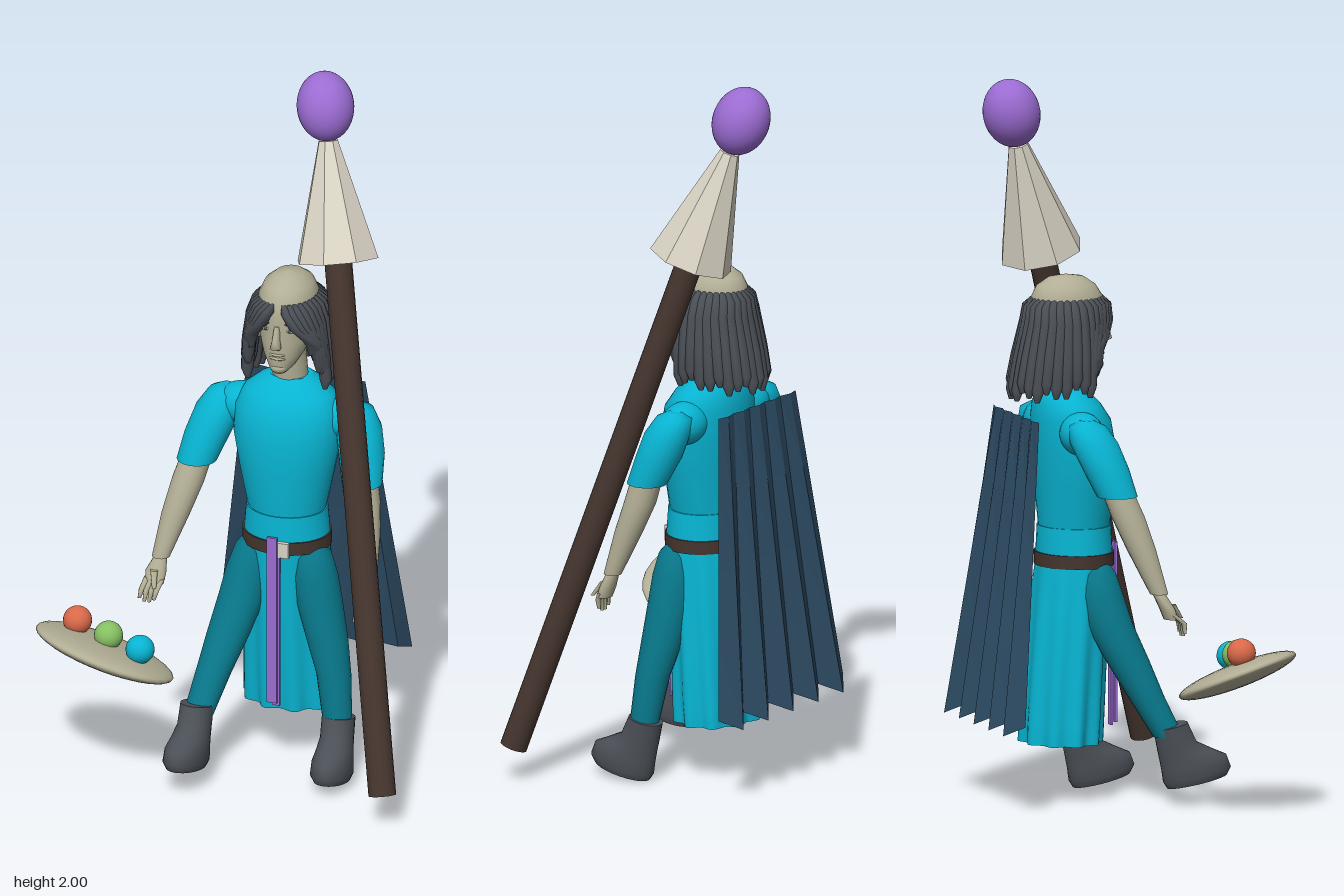
import * as THREE from 'three';

const mat = (name, color) => {
  const m = new THREE.MeshStandardMaterial({ color });
  m.name = name;
  return m;
};

export function createModel() {
  const root = new THREE.Group();
  root.name = 'wanderer';
  const cyan = mat('cyan cloth', 0x08b4d2);
  const teal = mat('teal trousers', 0x08798c);
  const navy = mat('navy cape', 0x2c4a62);
  navy.side = THREE.DoubleSide;
  const grey = mat('dark grey', 0x4b5057);
  const skin = mat('skin', 0xb3af96);
  const brown = mat('dark brown', 0x45352e);
  const cream = mat('cream', 0xd9d3c4);
  const purple = mat('purple', 0x9b6cd2);
  const orange = mat('orange', 0xd9694a);
  const green = mat('green', 0x85c062);

  const add = (name, geo, material, parent = root) => {
    const m = new THREE.Mesh(geo, material);
    m.name = name;
    parent.add(m);
    return m;
  };
  const group = (name, parent = root) => {
    const g = new THREE.Group();
    g.name = name;
    parent.add(g);
    return g;
  };
  const ball = (name, material, [x, y, z], [a, b, c], parent = root, seg = 24) => {
    const m = add(name, new THREE.SphereGeometry(1, seg, Math.round(seg * 0.65)), material, parent);
    m.position.set(x, y, z);
    m.scale.set(a, b, c);
    return m;
  };

  // Closed body through horizontal rings [x, y, z, rx, rz], listed from top to bottom
  const loft = (rings, sides = 20, wave = () => 1) => {
    const pos = [], idx = [];
    const ring = ([x, y, z, rx, rz = rx], r) => {
      for (let j = 0; j < sides; j++) {
        const a = (j / sides) * Math.PI * 2, w = wave(a, r / (rings.length - 1));
        pos.push(x + Math.cos(a) * rx * w, y, z + Math.sin(a) * rz * w);
      }
    };
    rings.forEach(ring);
    for (let r = 0; r < rings.length - 1; r++) {
      for (let j = 0; j < sides; j++) {
        const a = r * sides + j, b = r * sides + (j + 1) % sides;
        idx.push(a, b, a + sides, b, b + sides, a + sides);
      }
    }
    // End caps on their own vertices keep a crisp rim
    [0, rings.length - 1].forEach((r) => {
      const s = pos.length / 3;
      ring(rings[r], r);
      pos.push(...rings[r].slice(0, 3));
      for (let j = 0; j < sides; j++) {
        const a = s + j, b = s + (j + 1) % sides;
        idx.push(s + sides, r ? a : b, r ? b : a);
      }
    });
    const g = new THREE.BufferGeometry();
    g.setAttribute('position', new THREE.Float32BufferAttribute(pos, 3));
    g.setIndex(idx);
    g.computeVertexNormals();
    return g;
  };

  // Tunic, skirt, belt and sash
  add('tunic', loft([
    [.088, 1.15, -.12, .062, .05], [.088, 1.135, -.12, .088, .066], [.088, 1.105, -.113, .127, .088],
    [.088, 1.06, -.1, .15, .104], [.088, .98, -.093, .153, .112], [.088, .88, -.09, .134, .106],
    [.088, .765, -.09, .11, .097]], 32), cyan);
  add('tunicHem', loft([[.088, .765, -.09, .114, .1], [.088, .68, -.09, .121, .104]], 32), cyan);
  add('skirt', loft([
    [.088, .69, -.09, .118, .1], [.088, .58, -.1, .124, .105], [.088, .4, -.115, .128, .107],
    [.088, .22, -.127, .132, .108], [.088, .165, -.13, .13, .106]], 80,
    (a, t) => 1 + .08 * t * Math.cos(a * 10)), cyan);
  add('belt', loft([[.088, .692, -.09, .125, .108], [.088, .655, -.09, .125, .108]], 32), brown);
  add('buckle', new THREE.BoxGeometry(.035, .044, .012), cream).position.set(.112, .672, .018);
  add('sash', new THREE.BoxGeometry(.03, .5, .008), purple).position.set(.084, .46, .027);
  add('sashTail', new THREE.BoxGeometry(.022, .46, .006), purple).position.set(.094, .43, .02);

  // Legs and boots
  add('rightLeg', loft([
    [.01, .668, -.06, .035], [.006, .64, -.058, .055], [-.006, .58, -.05, .064], [-.02, .5, -.03, .066],
    [-.045, .4, .015, .06], [-.072, .3, .06, .05], [-.098, .19, .115, .042]]), teal);
  add('leftLeg', loft([
    [.166, .668, -.06, .035], [.17, .64, -.058, .055], [.18, .58, -.055, .064], [.195, .5, -.05, .064],
    [.22, .4, -.04, .058], [.245, .3, -.025, .048], [.262, .16, -.008, .04]]), teal);
  const boot = (name, x, y, z, turn) => {
    const b = add(name, loft([
      [0, .17, .045, .046, .048], [0, .11, .052, .046, .056], [0, .08, .072, .05, .076],
      [0, .055, .09, .055, .094], [0, .02, .092, .057, .098], [0, 0, .088, .048, .086]], 24), grey);
    b.position.set(x, y, z);
    b.rotation.set(-.2, turn, 0, 'YXZ');
  };
  boot('rightBoot', -.1, .045, .11, -.08);
  boot('leftBoot', .262, .002, -.025, .08);

  // Arms: sleeve, forearm and hand with fingers
  const arm = (side, sleeve, fore, hand, tip) => {
    const g = group(side + 'Arm');
    add('sleeve', loft(sleeve), cyan, g);
    add('forearm', loft(fore, 16), skin, g);
    add('palm', loft([[...fore.at(-1).slice(0, 3), .018], [...hand, .03, .02],
      [hand[0], hand[1] - .03, hand[2] + .012, .026, .02]], 12), skin, g);
    for (let i = 0; i < 4; i++) {
      const o = (i - 1.5) * .014;
      add('finger', loft([[hand[0] + o, hand[1] - .015, hand[2] + .01, .009],
        [(hand[0] + tip[0]) / 2 + o, (hand[1] + tip[1]) / 2, tip[2], .008],
        [tip[0] + o, tip[1] + Math.abs(o) * .6, tip[2], .005]], 8), skin, g);
    }
    add('thumb', loft([[hand[0], hand[1] + .01, hand[2] + .015, .011],
      [hand[0] + .01, hand[1] - .03, hand[2] + .045, .006]], 8), skin, g);
  };
  arm('right', [[-.1, 1.08, -.125, .02], [-.1, 1.065, -.123, .05], [-.115, 1.02, -.11, .066],
    [-.14, .95, -.085, .064], [-.163, .875, -.06, .056]],
  [[-.162, .89, -.06, .044], [-.18, .82, -.035, .046], [-.205, .73, -.005, .04], [-.235, .61, .035, .025]],
  [-.243, .57, .055], [-.256, .49, .095]);
  arm('left', [[.275, 1.08, -.125, .02], [.275, 1.065, -.123, .05], [.288, 1.02, -.11, .064],
    [.303, .95, -.09, .064], [.315, .875, -.06, .056]],
  [[.315, .89, -.06, .044], [.327, .82, -.045, .045], [.342, .73, -.015, .039], [.36, .61, .025, .025]],
  [.362, .57, .04], [.355, .495, .06]);
  [-.05, .226].forEach((x) => ball('shoulder', cyan, [x, 1.035, -.12], [.075, .06, .06]));

  // Head and face
  const head = group('head');
  add('neck', loft([[.088, 1.25, -.105, .046], [.088, 1.12, -.12, .05]]), skin, head);
  add('skull', loft([
    [.085, 1.459, -.115, .006], [.085, 1.452, -.115, .04, .05], [.085, 1.43, -.115, .066, .083],
    [.085, 1.4, -.113, .08, .1], [.085, 1.36, -.11, .082, .105], [.085, 1.325, -.103, .077, .094],
    [.085, 1.28, -.09, .07, .084], [.085, 1.24, -.075, .057, .067], [.085, 1.205, -.058, .036, .05],
    [.085, 1.188, -.045, .018, .028]], 28), skin, head);
  add('nose', loft([[.085, 1.335, -.015, .008, .01], [.085, 1.295, -.004, .011, .018],
    [.085, 1.275, .0, .016, .02], [.085, 1.267, -.008, .012, .012]], 10), skin, head);
  [1.248, 1.237].forEach((y) => ball('lip', skin, [.085, y, -.016], [.025, .006, .012], head, 12));
  ball('chin', skin, [.085, 1.205, -.03], [.026, .018, .025], head, 14);
  for (const s of [-1, 1]) {
    ball('eye', cream, [.085 + s * .034, 1.322, -.022], [.014, .007, .008], head, 12);
    ball('pupil', grey, [.085 + s * .034, 1.322, -.016], [.005, .005, .004], head, 10);
    ball('brow', grey, [.085 + s * .036, 1.341, -.016], [.022, .004, .007], head, 12).rotation.z = s * -.15;
    ball('ear', skin, [.085 + s * .077, 1.29, -.09], [.012, .032, .022], head, 12);
  }

  // Long strands hanging round the bald crown, the front ones swept aside
  const hair = group('hair');
  for (const s of [-1, 1]) {
    for (let i = 0; i < 17; i++) {
      const a = .2 + (i / 16) * 2.94, front = Math.max(0, 1 - a / 1.3);
      const tall = 1.13 + front * .14 + (i % 3) * .012 - (a > 2 ? .012 : 0);
      const at = (ang, y, rx, rz, r) =>
        [.087 + s * Math.sin(ang) * rx, y, -.112 + Math.cos(ang) * rz, r];
      const sweep = a + front * .75;
      add('strand', loft([
        at(a, 1.4, .074, .094, .006), at(a + front * .15, 1.378, .086, .108, .018),
        at(a + front * .4, 1.335, .1, .113, .02),
        at(sweep, (1.32 + tall) / 2 + .01, .112, a > 1.6 ? .138 : .11, .02),
        at(sweep, tall + .03, .118, a > 1.6 ? .155 : .1, .018),
        at(sweep, tall, .116, a > 1.6 ? .157 : .1, .007)], 8), grey, hair);
    }
  }

  // Pleated cape flaring to the hem
  let cape = new THREE.PlaneGeometry(1, 1, 10, 4);
  const p = cape.attributes.position;
  for (let i = 0; i < p.count; i++) {
    const u = p.getX(i), t = .5 - p.getY(i);
    const fold = Math.round((u + .5) * 10) % 2 ? -1 : 1;
    p.setXYZ(i, .083 + u * (.345 + .215 * t), 1.08 - t * (.84 + .015 * -fold),
      -.265 - .1 * t + fold * (.004 + .018 * t));
  }
  cape = cape.toNonIndexed();
  cape.computeVertexNormals();
  add('cape', cape, navy);

  // Leaning staff with a faceted cone and an egg-shaped orb
  const staff = group('staff');
  const foot = new THREE.Vector3(.487, .1, .27), top = new THREE.Vector3(.143, 1.905, -.252);
  staff.position.copy(foot);
  staff.quaternion.setFromUnitVectors(new THREE.Vector3(0, 1, 0), top.clone().sub(foot).normalize());
  const len = top.distanceTo(foot);
  add('shaft', new THREE.CylinderGeometry(.038, .038, 1.5, 16), brown, staff).position.y = .75;
  const cone = new THREE.CylinderGeometry(.028, .118, .33, 8).toNonIndexed();
  cone.computeVertexNormals();
  add('cone', cone, cream, staff).position.y = 1.65;
  ball('orb', purple, [0, len, 0], [.079, .097, .079], staff, 32);

  // Tilted dish carrying three balls
  const dish = ball('dish', skin, [-.332, .387, .228], [.203, .034, .167], root, 28);
  dish.quaternion.setFromUnitVectors(new THREE.Vector3(0, 1, 0), new THREE.Vector3(.28, 1, -.3).normalize());
  ball('orangeBall', orange, [-.418, .463, .206], [.04, .04, .04]);
  ball('greenBall', green, [-.32, .443, .23], [.04, .04, .04]);
  ball('cyanBall', cyan, [-.221, .425, .252], [.04, .04, .04]);

  return root;
}
